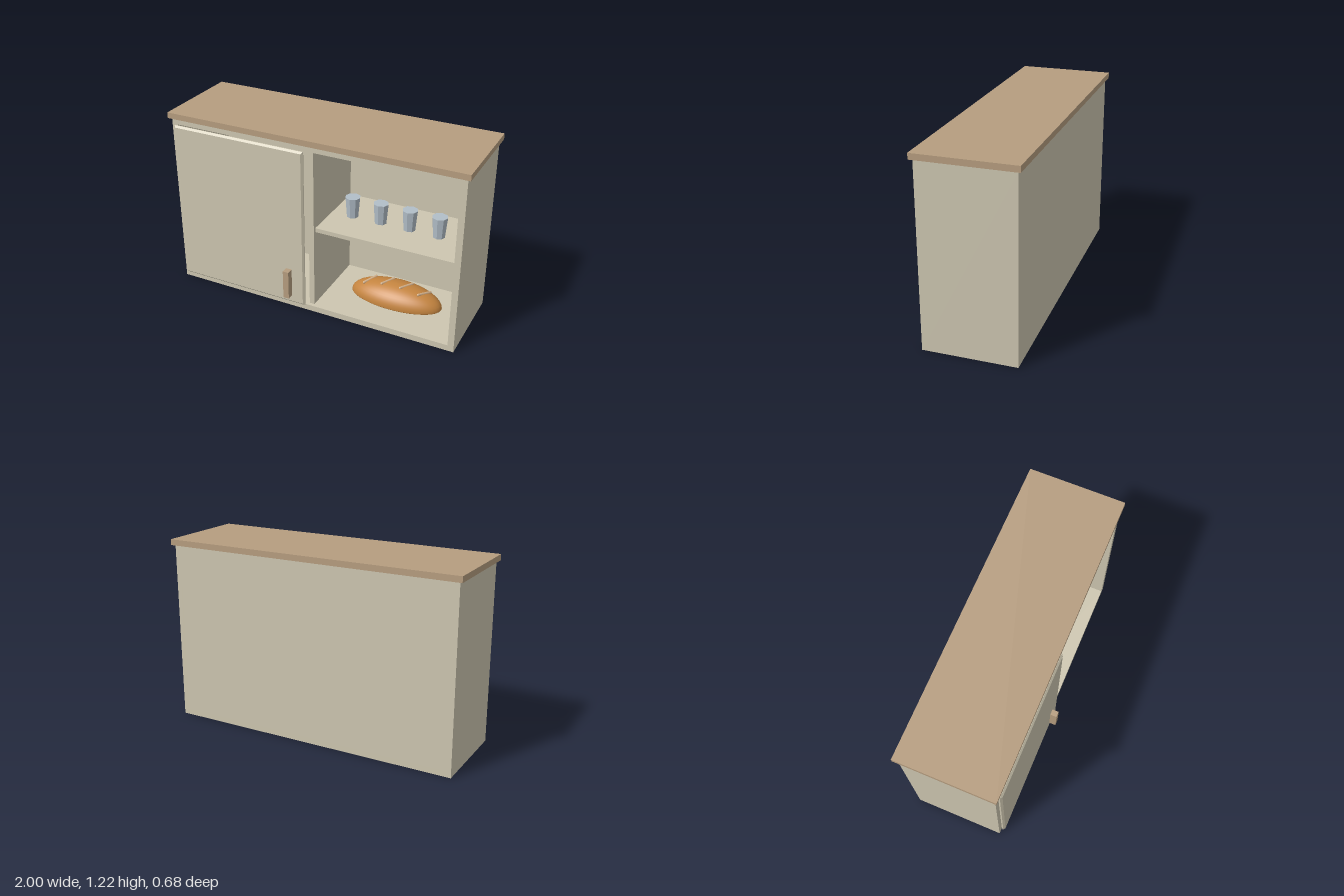
import * as THREE from 'three';

const mat = (name, color, flatShading = false) => {
  const m = new THREE.MeshStandardMaterial({ color, flatShading });
  m.name = name;
  return m;
};

export function createModel() {
  const cream = mat('cream paint', 0xcdc6b0);
  const wood = mat('wood', 0xb69d7f);
  const glass = mat('blue grey glass', 0xb2bec8, true);
  const crust = mat('bread crust', 0xc4843f);
  const score = mat('pale crust', 0xd3b08a);
  const model = new THREE.Group();
  model.name = 'kitchenCabinet';

  const add = (parent, name, geo, material) => {
    const m = new THREE.Mesh(geo, material);
    m.name = name;
    parent.add(m);
    return m;
  };
  // Box given by its lower and upper corners
  const box = (name, material, x0, x1, y0, y1, z0, z1) =>
    add(model, name, new THREE.BoxGeometry(x1 - x0, y1 - y0, z1 - z0), material)
      .position.set((x0 + x1) / 2, (y0 + y1) / 2, (z0 + z1) / 2);

  // Carcass: one frame with an opening, closed by a back panel
  const frame = new THREE.Shape([[-0.98, 0], [0.98, 0], [0.98, 1.18], [-0.98, 1.18]]
    .map(p => new THREE.Vector2(...p)));
  frame.holes.push(new THREE.Path([[-0.94, 0.04], [-0.94, 1.14], [0.94, 1.14], [0.94, 0.04]]
    .map(p => new THREE.Vector2(...p))));
  add(model, 'carcass', new THREE.ExtrudeGeometry(frame, { depth: 0.59, bevelEnabled: false }), cream)
    .position.z = -0.32;
  box('backPanel', cream, -0.94, 0.94, 0.04, 1.14, -0.32, -0.29);
  box('divider', cream, -0.021, 0.014, 0.04, 1.14, -0.29, 0.245);
  box('shelf', cream, 0.014, 0.94, 0.575, 0.603, -0.29, 0.225);
  box('countertop', wood, -1, 1, 1.18, 1.218, -0.34, 0.288);

  // Door with chamfered edges, and its handle
  const bevel = 0.012;
  const [l, r, b, t] = [-0.953 + bevel, -0.033 - bevel, 0.043 + bevel, 1.14 - bevel];
  const doorShape = new THREE.Shape([[l, b], [r, b], [r, t], [l, t]].map(p => new THREE.Vector2(...p)));
  add(model, 'door', new THREE.ExtrudeGeometry(doorShape, {
    depth: 0.006, bevelEnabled: true, bevelThickness: 0.011, bevelSize: bevel, bevelSegments: 1,
  }), cream).position.z = 0.28;
  box('handle', wood, -0.163, -0.123, 0.1, 0.298, 0.295, 0.342);

  // Row of glasses on the shelf
  for (let i = 0; i < 4; i++) {
    add(model, 'glass', new THREE.CylinderGeometry(0.05, 0.039, 0.138, 8), glass)
      .position.set(0.155 + i * 0.195, 0.672, -0.025);
  }

  // Loaf: an ellipsoid with a flattened underside
  const loaf = new THREE.Group();
  loaf.name = 'bread';
  loaf.position.set(0.48, 0.066, -0.025);
  model.add(loaf);
  const [rx, ry, rz] = [0.312, 0.119, 0.14];
  const body = new THREE.SphereGeometry(1, 40, 24);
  const pos = body.attributes.position;
  for (let i = 0; i < pos.count; i++) {
    const y = pos.getY(i);
    pos.setXYZ(i, pos.getX(i) * rx, y * (y < 0 ? 0.024 : ry), pos.getZ(i) * rz);
  }
  body.computeVertexNormals();
  add(loaf, 'loaf', body, crust);

  // Diagonal scores across the crust, following its slope
  for (const x of [-0.19, -0.065, 0.065, 0.19]) {
    const top = Math.sqrt(1 - (x / rx) ** 2);
    const dir = new THREE.Vector3(0.06, -0.06 * ry * x / (rx * rx * top), -0.1).normalize();
    const cut = add(loaf, 'score', new THREE.CapsuleGeometry(0.009, 0.1, 4, 8), score);
    cut.position.set(x, ry * top - 0.003, 0);
    cut.quaternion.setFromUnitVectors(new THREE.Vector3(0, 1, 0), dir);
  }
  return model;
}
